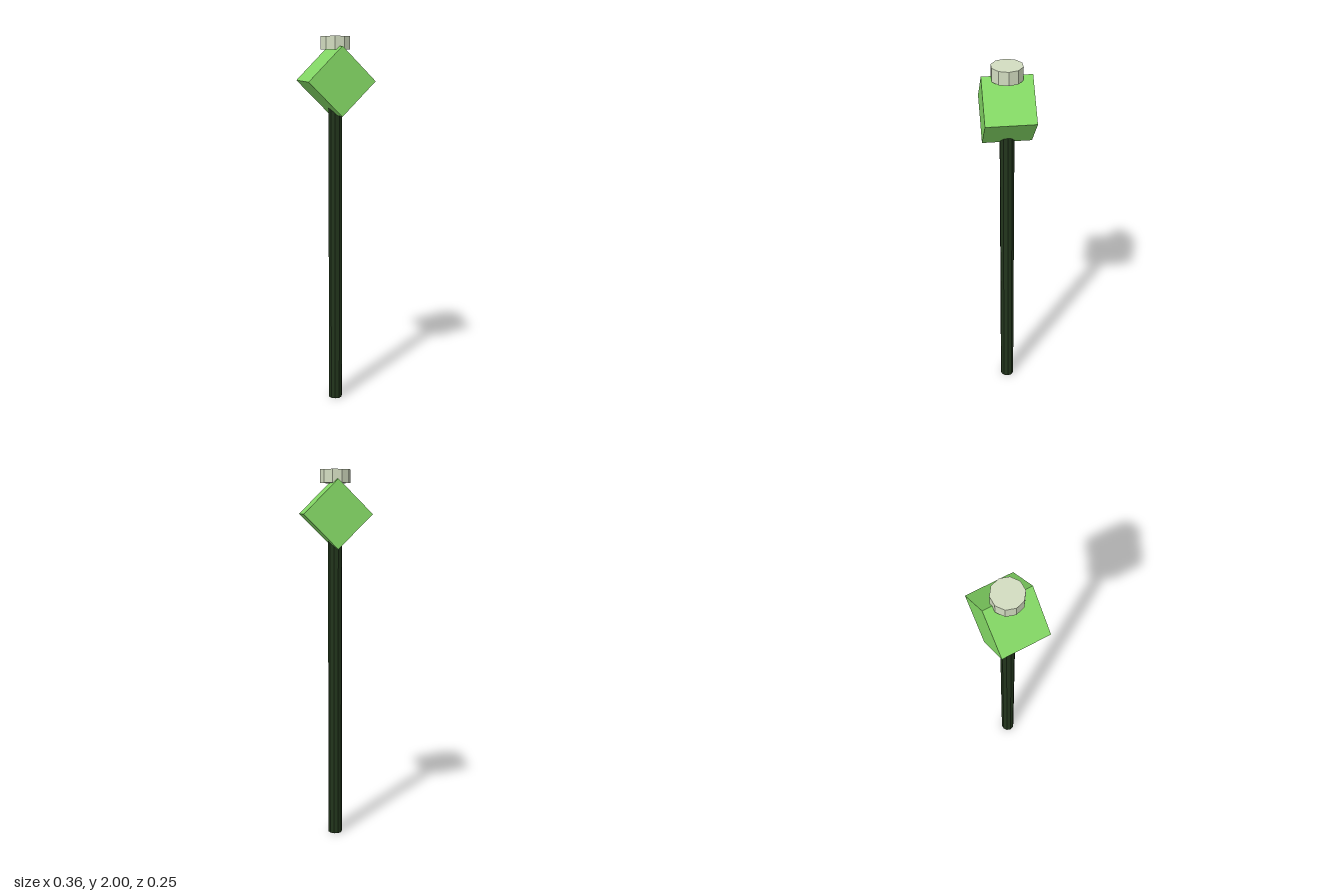
import * as THREE from 'three';

export function createModel() {
  const model = new THREE.Group();

  const addPart = (name, geometry, color, y) => {
    const material = new THREE.MeshStandardMaterial({ color, flatShading: true });
    const mesh = new THREE.Mesh(geometry, material);
    mesh.name = name;
    mesh.position.y = y;
    model.add(mesh);
    return mesh;
  };

  // Ten-sided prism with corners on the x axis
  const prism = (radius, height) =>
    new THREE.CylinderGeometry(radius, radius, height, 10).rotateY(Math.PI / 2);

  // Pole, its top end sunk into the block
  const poleHeight = 1.77;
  addPart('pole', prism(0.038, poleHeight), 0x22351c, poleHeight / 2);

  // Block standing on one edge
  const block = addPart('block', new THREE.BoxGeometry(0.254, 0.254, 0.254), 0x84d865, 1.77);
  block.rotation.z = Math.PI / 4;

  // Cap resting on the block's upper ridge
  addPart('cap', prism(0.081, 0.07), 0xd2dcc0, 1.965);

  return model;
}
